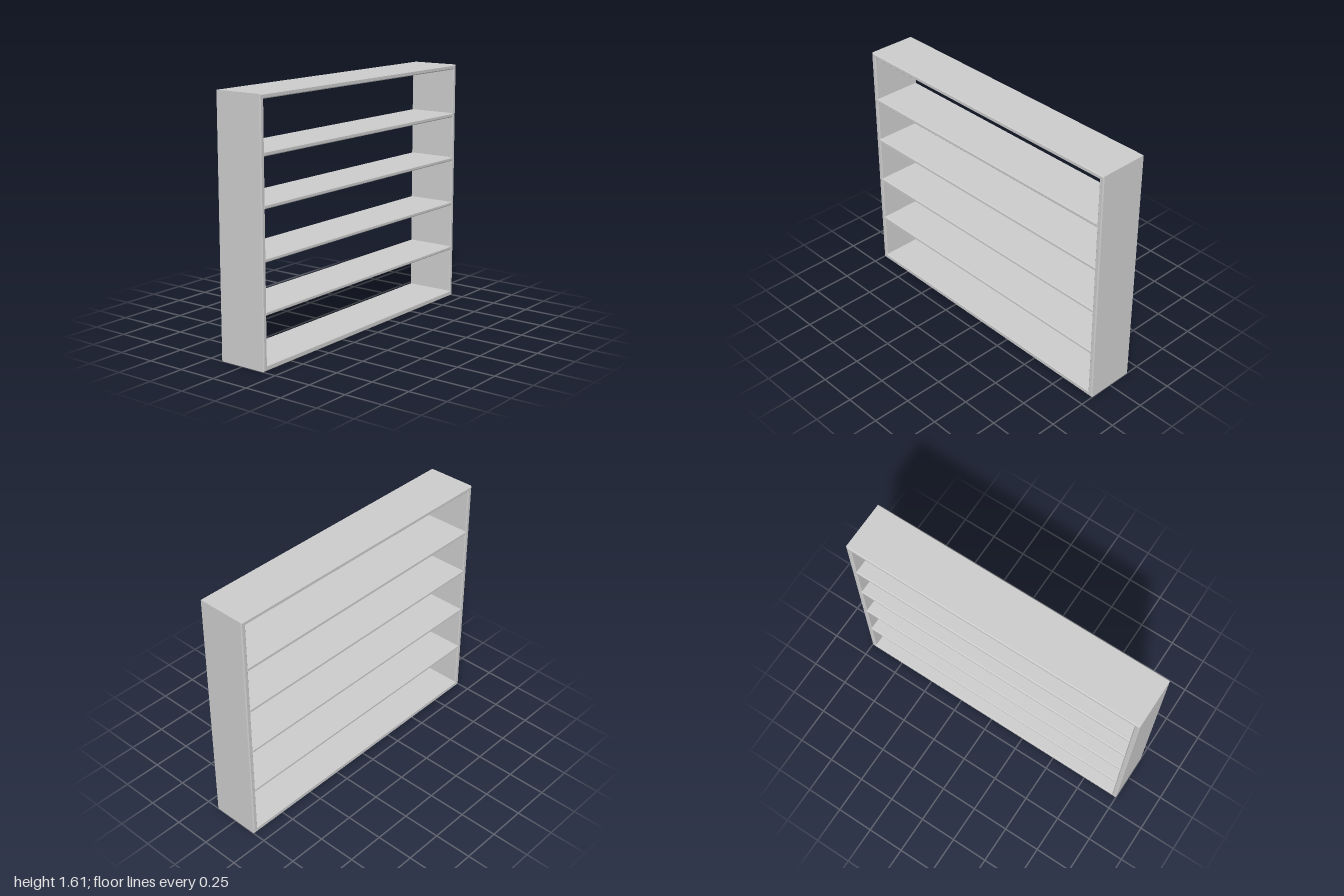
import * as THREE from 'three';

const HALF_WIDTH = 0.165, HEIGHT = 1.605, BEVEL = 0.006;
const material = new THREE.MeshStandardMaterial({ color: 0xcccccc, flatShading: true });

function rectangle(path, x0, x1, y0, y1) {
  path.moveTo(x0, y0);
  path.lineTo(x1, y0);
  path.lineTo(x1, y1);
  path.lineTo(x0, y1);
  path.closePath();
  return path;
}

// Extrude a profile across the unit's depth, with chamfered open edges
function extrudeAcross(shape, halfWidth, name) {
  const geometry = new THREE.ExtrudeGeometry(shape, {
    depth: 2 * (halfWidth - BEVEL),
    bevelEnabled: true,
    bevelThickness: BEVEL,
    bevelSize: BEVEL,
    bevelOffset: -BEVEL,
    bevelSegments: 1,
  });
  geometry.translate(0, 0, -(halfWidth - BEVEL));
  geometry.rotateY(Math.PI / 2);
  const mesh = new THREE.Mesh(geometry, material);
  mesh.name = name;
  return mesh;
}

export function createModel() {
  const group = new THREE.Group();
  group.name = 'shelvingUnit';

  // Outer frame: two side panels, top and base in one ring
  const outline = rectangle(new THREE.Shape(), -1, 1, 0, HEIGHT);
  outline.holes.push(rectangle(new THREE.Path(), -0.968, 0.968, 0.035, 1.575));
  group.add(extrudeAcross(outline, HALF_WIDTH, 'frame'));

  // Shelves, their ends let into the side panels
  const shelves = [[0.33, 0.355], [0.643, 0.668], [0.952, 0.978], [1.252, 1.28]];
  shelves.forEach(([bottom, top], i) => {
    const profile = rectangle(new THREE.Shape(), -0.976, 0.976, bottom, top);
    group.add(extrudeAcross(profile, HALF_WIDTH - 0.001, `shelf${i + 1}`));
  });

  return group;
}
